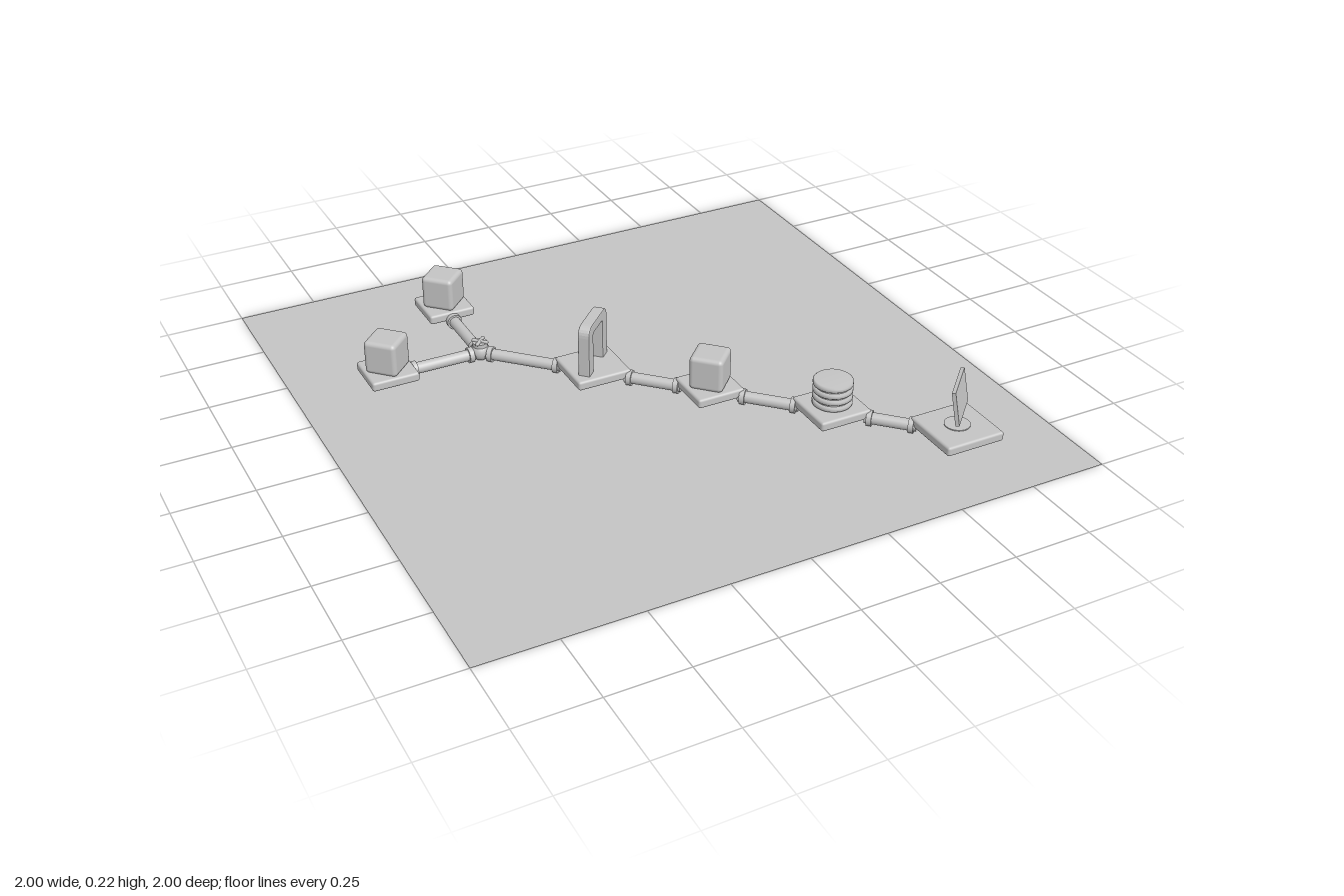
import * as THREE from 'three';
import { RoundedBoxGeometry } from 'three/addons/geometries/RoundedBoxGeometry.js';

const grey = new THREE.MeshStandardMaterial({ color: 0xc4c4c4, side: THREE.DoubleSide });
grey.name = 'plain grey';

const PIPE_Y = 0.027;
const PAD_BOTTOM = 0.026;
const PAD_TOP = 0.057;

function add(parent, name, geometry, x = 0, y = 0, z = 0) {
  const mesh = new THREE.Mesh(geometry, grey);
  mesh.name = name;
  mesh.position.set(x, y, z);
  parent.add(mesh);
  return mesh;
}

const cylinder = (r, h, sides = 24) => new THREE.CylinderGeometry(r, r, h, sides);

// Square pad with a diagonal group on top for whatever stands there
function station(parent, name, x, z, size) {
  const group = new THREE.Group();
  group.name = name;
  group.position.set(x, 0, z);
  parent.add(group);
  const height = PAD_TOP - PAD_BOTTOM;
  add(group, 'pad', new RoundedBoxGeometry(size, height, size, 2, 0.008), 0, PAD_BOTTOM + height / 2, 0);
  const top = new THREE.Group();
  top.name = name + 'Top';
  top.position.y = PAD_TOP;
  top.rotation.y = Math.PI / 4;
  group.add(top);
  return top;
}

function block(top) {
  add(top, 'block', new RoundedBoxGeometry(0.108, 0.112, 0.108, 3, 0.014), 0, 0.054, 0);
}

// Gateway with rounded shoulders, extruded with a small bevel
function arch(top) {
  const w = 0.08, h = 0.164, r = 0.03, iw = 0.047, ih = 0.138, ir = 0.012;
  const s = new THREE.Shape();
  s.moveTo(-w, -0.004);
  s.lineTo(-w, h - r);
  s.quadraticCurveTo(-w, h, -w + r, h);
  s.lineTo(w - r, h);
  s.quadraticCurveTo(w, h, w, h - r);
  s.lineTo(w, -0.004);
  s.lineTo(iw, -0.004);
  s.lineTo(iw, ih - ir);
  s.quadraticCurveTo(iw, ih, iw - ir, ih);
  s.lineTo(-iw + ir, ih);
  s.quadraticCurveTo(-iw, ih, -iw, ih - ir);
  s.lineTo(-iw, -0.004);
  const g = new THREE.ExtrudeGeometry(s, {
    depth: 0.03, bevelSize: 0.004, bevelThickness: 0.004, bevelSegments: 2, curveSegments: 6,
  });
  add(top, 'arch', g, 0, 0, -0.015);
}

// Stack of four discs around a narrower core
function coil(top) {
  add(top, 'coilCore', cylinder(0.054, 0.086, 32), 0, 0.043, 0);
  for (let i = 0; i < 4; i++) {
    const pts = [[0, -0.009], [0.057, -0.009], [0.062, -0.005], [0.062, 0.005], [0.057, 0.009], [0, 0.009]]
      .map(([a, b]) => new THREE.Vector2(a, b));
    add(top, 'coilDisc', new THREE.LatheGeometry(pts, 32), 0, 0.011 + i * 0.0225, 0);
  }
}

// Tilted panel on a thin post
function sign(top) {
  add(top, 'signFoot', cylinder(0.04, 0.004), 0, 0.001, 0);
  add(top, 'signPost', cylinder(0.006, 0.075, 12), 0, 0.036, 0);
  const panel = add(top, 'signPanel', new THREE.BoxGeometry(0.155, 0.112, 0.012), 0, 0.096, 0);
  panel.rotation.x = -0.18;
}

// Pipe between two points, set in from each end, with a collar at both ends
function pipe(parent, from, to, insetA, insetB) {
  const a = new THREE.Vector3(from[0], PIPE_Y, from[1]);
  const b = new THREE.Vector3(to[0], PIPE_Y, to[1]);
  const dir = b.clone().sub(a).normalize();
  a.addScaledVector(dir, insetA);
  b.addScaledVector(dir, -insetB);
  const group = new THREE.Group();
  group.name = 'pipe';
  group.position.copy(a).add(b).multiplyScalar(0.5);
  group.quaternion.setFromUnitVectors(new THREE.Vector3(0, 1, 0), dir);
  parent.add(group);
  const length = a.distanceTo(b);
  add(group, 'pipeBody', cylinder(0.0185, length + 0.03));
  for (const s of [-1, 1]) add(group, 'pipeCollar', cylinder(0.025, 0.016), 0, s * length / 2, 0);
}

export function createModel() {
  const model = new THREE.Group();
  model.name = 'pipelineLayout';

  // Thin base sheet
  add(model, 'baseSheet', new THREE.PlaneGeometry(2, 2).rotateX(-Math.PI / 2), 0, 0.002, 0);

  // Stations: x, z, pad size, what stands on the pad
  const stations = [
    ['sourceLeft', -0.703, -0.39, 0.155, block],
    ['sourceBack', -0.39, -0.703, 0.155, block],
    ['gate', -0.119, -0.119, 0.182, arch],
    ['middle', 0.152, 0.152, 0.16, block],
    ['store', 0.425, 0.425, 0.176, coil],
    ['display', 0.695, 0.695, 0.2, sign],
  ];
  for (const [name, x, z, size, build] of stations) build(station(model, name, x, z, size));

  // Pipe junction with a small cross on its cap
  const joint = new THREE.Group();
  joint.name = 'junction';
  joint.position.set(-0.39, 0, -0.39);
  model.add(joint);
  add(joint, 'junctionBall', new THREE.SphereGeometry(0.031, 24, 16), 0, 0.033, 0);
  add(joint, 'junctionCap', cylinder(0.024, 0.02), 0, 0.056, 0);
  for (const s of [-1, 1]) {
    const bar = add(joint, 'capCross', new RoundedBoxGeometry(0.056, 0.01, 0.011, 2, 0.004), 0, 0.068, 0);
    bar.rotation.y = s * Math.PI / 4;
  }

  // Two straight feeds, then the diagonal chain
  const hub = [-0.39, -0.39];
  for (const [, x, z, size] of stations.slice(0, 2)) pipe(model, hub, [x, z], 0.036, size / 2 + 0.008);
  let from = hub, inset = 0.036;
  for (const [, x, z, size] of stations.slice(2)) {
    const corner = size * Math.SQRT1_2 - 0.006;
    pipe(model, from, [x, z], inset, corner);
    from = [x, z];
    inset = corner;
  }
  return model;
}
